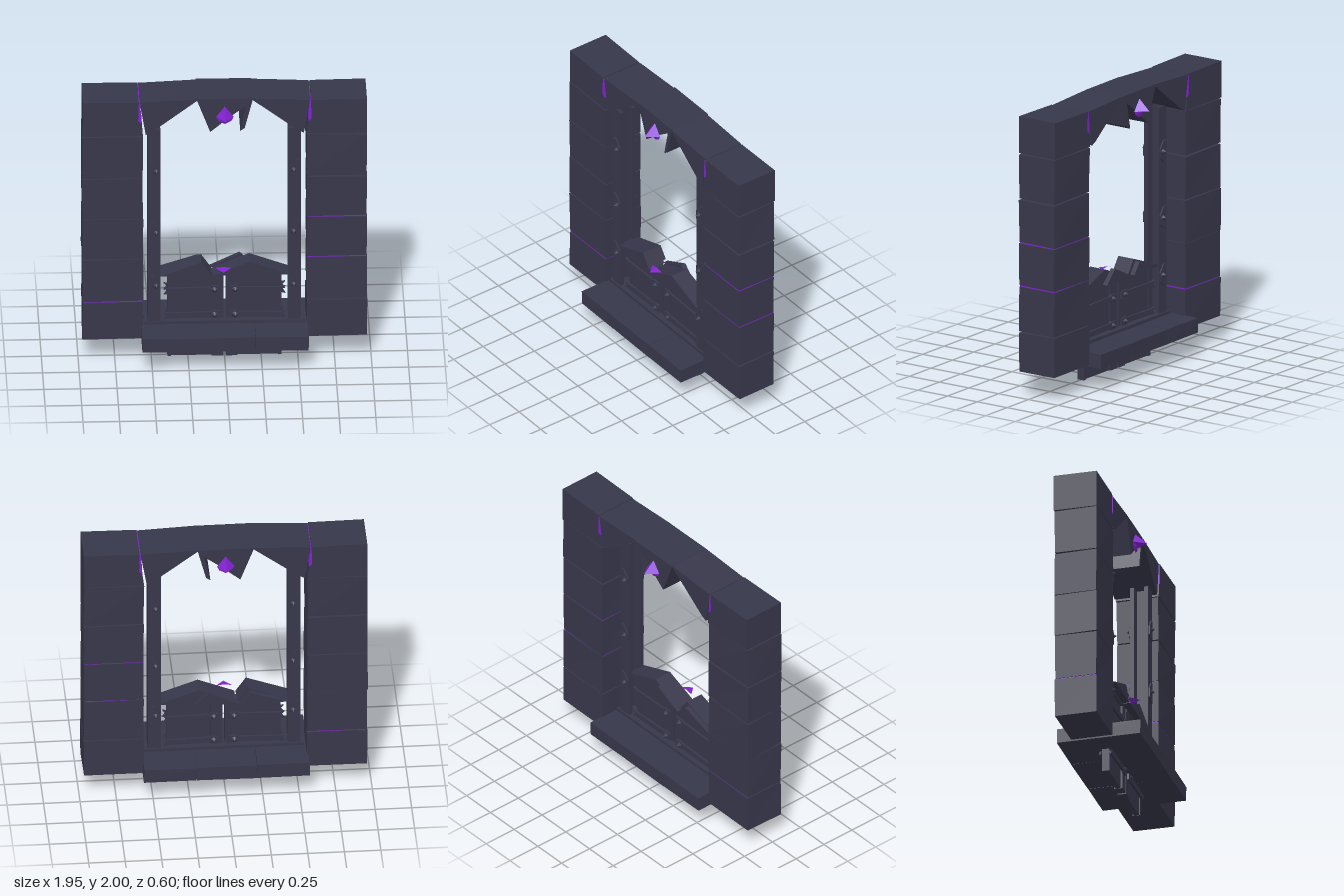
import * as THREE from 'three';

const stone = new THREE.MeshStandardMaterial({ color: 0x37374b });
stone.name = 'darkSlate';
const purple = new THREE.MeshStandardMaterial({ color: 0x8222d2 });
purple.name = 'glowingPurple';

let seed = 7;
const rand = () => (seed = (seed * 16807) % 2147483647) / 2147483647 - 0.5;

function add(parent, name, geometry, material = stone) {
  const mesh = new THREE.Mesh(geometry, material);
  mesh.name = name;
  parent.add(mesh);
  return mesh;
}

// Box given by its limits, with optionally uneven corners
function block(x0, x1, y0, y1, z0, z1, uneven = 0) {
  let g = new THREE.BoxGeometry(x1 - x0, y1 - y0, z1 - z0);
  const p = g.attributes.position;
  const shift = Array.from({ length: 8 }, () => [rand(), rand(), rand()]);
  for (let i = 0; i < p.count; i++) {
    const k = (p.getX(i) > 0 ? 1 : 0) + (p.getY(i) > 0 ? 2 : 0) + (p.getZ(i) > 0 ? 4 : 0);
    const s = shift[k];
    p.setXYZ(i, p.getX(i) + s[0] * uneven, p.getY(i) + s[1] * uneven, p.getZ(i) + s[2] * uneven);
  }
  g.translate((x0 + x1) / 2, (y0 + y1) / 2, (z0 + z1) / 2);
  g = g.toNonIndexed();
  g.computeVertexNormals();
  return g;
}

// Flat outline pushed from z0 to z1
function slab(points, z0, z1) {
  const shape = new THREE.Shape(points.map(([x, y]) => new THREE.Vector2(x, y)));
  const g = new THREE.ExtrudeGeometry(shape, { depth: z1 - z0, bevelEnabled: false });
  g.translate(0, 0, z0);
  return g;
}

// Pyramid over a counter-clockwise outline lying at height z
function spike(points, z, apex) {
  const v = [];
  points.forEach(([x, y], i) => {
    const [nx, ny] = points[(i + 1) % points.length];
    v.push(x, y, z, nx, ny, z, ...apex);
  });
  const g = new THREE.BufferGeometry();
  g.setAttribute('position', new THREE.Float32BufferAttribute(v, 3));
  g.computeVertexNormals();
  return g;
}

const flipX = (pts, s) => (s > 0 ? pts : pts.map(([x, y]) => [-x, y]).reverse());

function pillar(s) {
  const g = new THREE.Group();
  g.name = s > 0 ? 'leftPillar' : 'rightPillar';
  const levels = [0.172, 0.457, 0.782, 1.088, 1.398, 1.72];
  for (let i = 0; i < 5; i++) {
    const [a, b] = s > 0 ? [0.56, 0.97] : [-0.972, -0.56];
    add(g, 'pillarBlock', block(a, b, levels[i] + 0.003, levels[i + 1] - 0.004, -0.195, 0.1, 0.007));
  }
  // top block leans against the lintel
  add(g, 'capBlock', slab(flipX([[0.56, 1.725], [0.97, 1.725], [0.97, 1.985], [0.588, 1.98]], s), -0.203, 0.102));
  // glowing joints
  const joints = s > 0 ? [levels[2], levels[3]] : [levels[1]];
  for (const y of joints) {
    add(g, 'glowingJoint', block(s > 0 ? 0.563 : -0.965, s > 0 ? 0.965 : -0.563, y - 0.004, y + 0.004, -0.19, 0.096), purple);
  }
  add(g, 'glowingSeam', slab(flipX([[0.57, 1.82], [0.592, 1.84], [0.588, 1.972], [0.578, 1.972]], s), -0.205, 0.104), purple);
  return g;
}

function lintel() {
  const g = new THREE.Group();
  g.name = 'brokenLintel';
  for (const s of [1, -1]) {
    add(g, 'lintelEnd', slab(flipX([[0.19, 1.985], [0.5, 1.75], [0.54, 1.73], [0.582, 1.978], [0.19, 1.996]], s), -0.205, 0.097));
  }
  add(g, 'lintelCentre', slab([
    [-0.19, 1.985], [-0.1, 1.745], [0.05, 1.87], [0.145, 1.94],
    [0.105, 1.75], [0.135, 1.77], [0.19, 1.985], [0.19, 1.997], [-0.19, 1.999],
  ], -0.212, 0.095));
  // crystals on both faces
  for (const s of [1, -1]) {
    const c = new THREE.Group();
    c.name = 'crystal';
    add(c, 'crystalPoint', spike([[-0.06, 1.86], [0.06, 1.86], [0, 1.94]], 0, [0, 1.862, 0.085]), purple);
    add(c, 'crystalRoot', spike([[-0.06, 1.86], [-0.045, 1.83], [0, 1.805], [0.045, 1.83], [0.06, 1.86]], 0, [0, 1.85, 0.02]), purple);
    c.position.z = s > 0 ? 0.097 : -0.213;
    c.rotation.y = s > 0 ? 0 : Math.PI;
    g.add(c);
  }
  return g;
}

// Channel rails with latches on both outer faces
function rail(s) {
  const g = new THREE.Group();
  g.name = s > 0 ? 'leftRail' : 'rightRail';
  const [a, b] = s > 0 ? [0.432, 0.522] : [-0.525, -0.438];
  for (const f of [1, -1]) {
    const z = f * 0.05;
    add(g, 'railStrip', block(a, b, 0.265, 1.75, z - 0.014, z + 0.014));
    for (const y of [1.435, 0.965, 0.56]) {
      const c = s * 0.475;
      const outline = flipX([[-0.035, -0.045], [0.012, -0.08], [0.032, -0.07], [0.032, 0.078], [0.005, 0.075], [-0.035, 0.02]], s);
      const plate = add(g, 'latchPlate', slab(outline, -0.006, 0.006));
      plate.position.set(c, y, f * 0.068);
      const bolt = add(g, 'latchBolt', new THREE.ConeGeometry(0.022, 0.03, 6).toNonIndexed());
      bolt.rotation.x = f * Math.PI / 2;
      bolt.position.set(c - s * 0.005, y, f * 0.085);
    }
  }
  add(g, 'railBack', block(s > 0 ? 0.5 : -0.525, s > 0 ? 0.522 : -0.5, 0.265, 1.75, -0.036, 0.036));
  return g;
}

function door(s) {
  const g = new THREE.Group();
  g.name = s > 0 ? 'leftDoor' : 'rightDoor';
  const bar = (name, a, b, y0, y1, d) =>
    add(g, name, block(s > 0 ? a : -b, s > 0 ? b : -a, y0, y1, -d, d));
  bar('doorPanel', 0.012, 0.388, 0.002, 0.625, 0.018);
  bar('innerStile', 0.008, 0.088, 0, 0.64, 0.03);
  bar('outerStile', 0.365, 0.39, 0, 0.63, 0.026);
  bar('topRail', 0.01, 0.44, 0.618, 0.642, 0.032);
  // strap bands with bolts
  for (const y of [0.51, 0.32, 0.145]) {
    const strap = [
      [0.03, y - 0.027], [0.09, y - 0.03], [0.095, y - 0.02], [0.38, y - 0.024], [0.415, y - 0.032],
      [0.395, y], [0.415, y + 0.022], [0.38, y + 0.014], [0.095, y + 0.02], [0.09, y + 0.03], [0.035, y + 0.027],
    ];
    for (const f of [1, -1]) {
      add(g, 'strap', slab(flipX(strap, s), f * 0.036 - 0.008, f * 0.036 + 0.008));
      const bolt = add(g, 'strapBolt', new THREE.ConeGeometry(0.022, 0.024, 6).toNonIndexed());
      bolt.rotation.x = f * Math.PI / 2;
      bolt.position.set(s * 0.07, y, f * 0.055);
    }
  }
  return g;
}

export function createModel() {
  const model = new THREE.Group();
  model.name = 'ruinedGateway';
  model.add(lintel());
  for (const s of [1, -1]) model.add(pillar(s), rail(s), door(s));

  // doorstep in three stones with a raised sill
  const cuts = [-0.57, -0.21, 0.205, 0.565];
  for (let i = 0; i < 3; i++) {
    add(model, 'doorstep', block(cuts[i], cuts[i + 1], 0.165, 0.268, -0.297, 0.297, 0.004));
  }
  add(model, 'sill', block(-0.55, 0.55, 0.255, 0.29, -0.075, 0.075));

  // splintered beam over the doors, front and back halves unlike each other
  const crest = new THREE.Group();
  crest.name = 'splinteredBeam';
  add(crest, 'splinter', slab([[-0.44, 0.638], [-0.09, 0.638], [-0.16, 0.74]], -0.05, 0.08));
  add(crest, 'splinter', slab([[-0.08, 0.638], [0.45, 0.638], [0.17, 0.74]], -0.05, 0.08));
  add(crest, 'splinter', slab([[-0.1, 0.638], [0.2, 0.638], [0.105, 0.735]], -0.085, -0.05));
  add(crest, 'splinter', slab([[-0.44, 0.638], [-0.12, 0.638], [-0.18, 0.72]], -0.085, -0.05));
  add(crest, 'beamCrystal', spike([[-0.065, 0.69], [-0.015, 0.665], [0.045, 0.69], [-0.01, 0.698]], 0.07, [-0.01, 0.685, 0.135]), purple);
  model.add(crest);
  return model;
}
